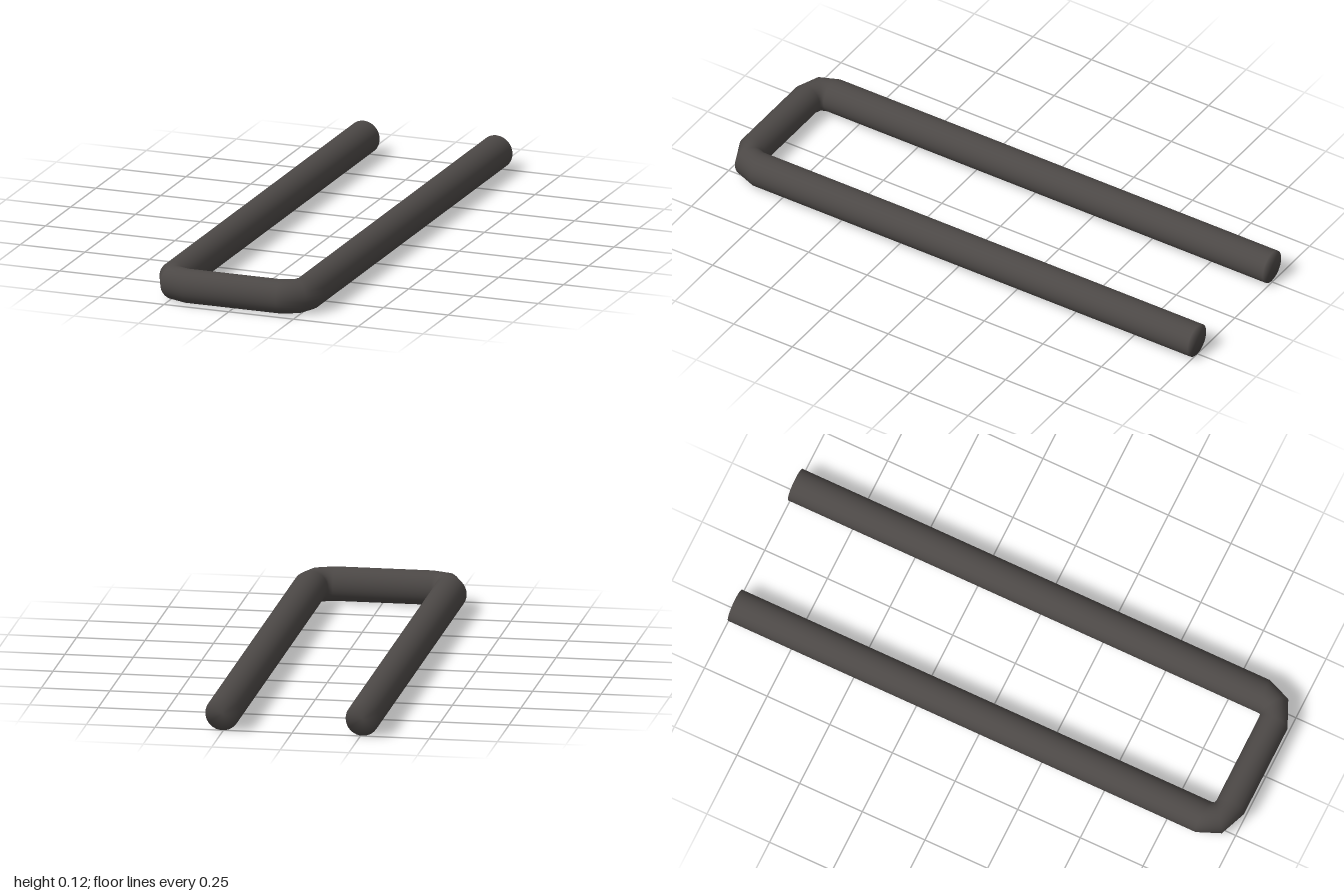
import * as THREE from 'three';

const SIDES = 32;
const RADIUS = 0.0625;

// Cross-sections along the bar: outer x, outer z, inner x, inner z
const SECTIONS = [
  [-0.318, -0.995, -0.195, -0.995],
  [-0.318, 0.87, -0.195, 0.88],
  [-0.28, 0.96, -0.194, 0.887],
  [-0.18, 1.0, -0.185, 0.89],
  [0.18, 1.0, 0.175, 0.89],
  [0.28, 0.955, 0.187, 0.887],
  [0.316, 0.865, 0.191, 0.88],
  [0.316, -1.0, 0.191, -1.0],
];

// Skin elliptical rings into one closed, smooth bar
function bentBar(sections) {
  const positions = [];
  const index = [];
  for (const [ox, oz, ix, iz] of sections) {
    const cx = (ox + ix) / 2, cz = (oz + iz) / 2;
    for (let j = 0; j < SIDES; j++) {
      const a = (j / SIDES) * Math.PI * 2;
      const c = Math.cos(a);
      positions.push(cx + (ox - cx) * c, RADIUS + RADIUS * Math.sin(a), cz + (oz - cz) * c);
    }
  }
  for (let i = 0; i < sections.length - 1; i++) {
    for (let j = 0; j < SIDES; j++) {
      const k = (j + 1) % SIDES;
      const a = i * SIDES + j, b = i * SIDES + k;
      index.push(a, a + SIDES, b, b, a + SIDES, b + SIDES);
    }
  }
  // Flat ends share the ring vertices, so they shade softly
  const last = sections.length - 1;
  for (const ring of [0, last]) {
    const [ox, oz, ix, iz] = sections[ring];
    const centre = positions.length / 3;
    positions.push((ox + ix) / 2, RADIUS, (oz + iz) / 2);
    for (let j = 0; j < SIDES; j++) {
      const a = ring * SIDES + j, b = ring * SIDES + (j + 1) % SIDES;
      if (ring === 0) index.push(centre, a, b);
      else index.push(centre, b, a);
    }
  }
  const geometry = new THREE.BufferGeometry();
  geometry.setAttribute('position', new THREE.Float32BufferAttribute(positions, 3));
  geometry.setIndex(index);
  geometry.computeVertexNormals();
  return geometry;
}

export function createModel() {
  const group = new THREE.Group();
  group.name = 'uShapedBar';
  const material = new THREE.MeshStandardMaterial({ color: 0x4c4846 });
  const bar = new THREE.Mesh(bentBar(SECTIONS), material);
  bar.name = 'bentBar';
  group.add(bar);
  return group;
}
